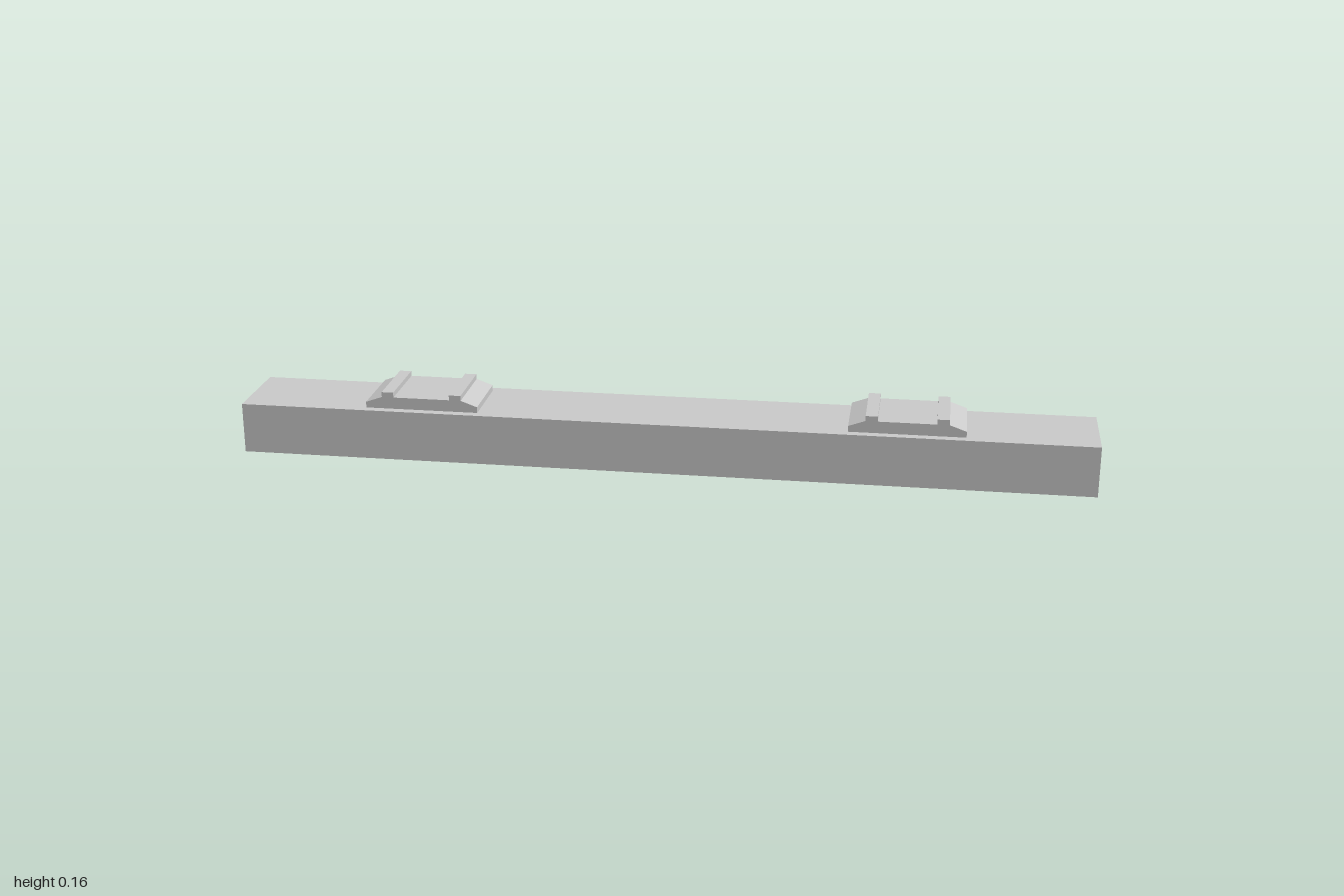
import * as THREE from 'three';

const LENGTH = 2, WIDTH = 0.2, HEIGHT = 0.12, PAD_DEPTH = 0.16;

export function createModel() {
  const model = new THREE.Group();
  model.name = 'railSleeper';
  const beamMaterial = new THREE.MeshStandardMaterial({ color: 0xcccccc, side: THREE.DoubleSide });
  const padMaterial = new THREE.MeshStandardMaterial({ color: 0xcccccc, flatShading: true });

  // Hollow beam: thin top, sides and ends, open underneath
  const beam = new THREE.Group();
  beam.name = 'beam';
  const addPanel = (name, w, h, position, rx, ry) => {
    const panel = new THREE.Mesh(new THREE.PlaneGeometry(w, h), beamMaterial);
    panel.name = name;
    panel.position.set(...position);
    panel.rotation.set(rx, ry, 0);
    beam.add(panel);
  };
  addPanel('beamTop', LENGTH, WIDTH, [0, HEIGHT, 0], -Math.PI / 2, 0);
  addPanel('beamFront', LENGTH, HEIGHT, [0, HEIGHT / 2, WIDTH / 2], 0, 0);
  addPanel('beamBack', LENGTH, HEIGHT, [0, HEIGHT / 2, -WIDTH / 2], 0, Math.PI);
  addPanel('beamLeftEnd', WIDTH, HEIGHT, [LENGTH / 2, HEIGHT / 2, 0], 0, Math.PI / 2);
  addPanel('beamRightEnd', WIDTH, HEIGHT, [-LENGTH / 2, HEIGHT / 2, 0], 0, -Math.PI / 2);
  model.add(beam);

  // Rail plate profile: sloped shoulders and two ridges around a flat seat
  const half = [[0.134, 0], [0.134, 0.014], [0.095, 0.028], [0.095, 0.04], [0.067, 0.04], [0.067, 0.028]];
  const outline = [...half, ...half.map(([x, y]) => [-x, y]).reverse()];
  const shape = new THREE.Shape(outline.map(([x, y]) => new THREE.Vector2(x, y)));
  const plateGeometry = new THREE.ExtrudeGeometry(shape, { depth: PAD_DEPTH, bevelEnabled: false });
  plateGeometry.translate(0, 0, -PAD_DEPTH / 2);

  for (const side of [1, -1]) {
    const plate = new THREE.Mesh(plateGeometry, padMaterial);
    plate.name = side > 0 ? 'leftRailPlate' : 'rightRailPlate';
    plate.position.set(side * 0.567, HEIGHT, 0);
    model.add(plate);
  }
  return model;
}
